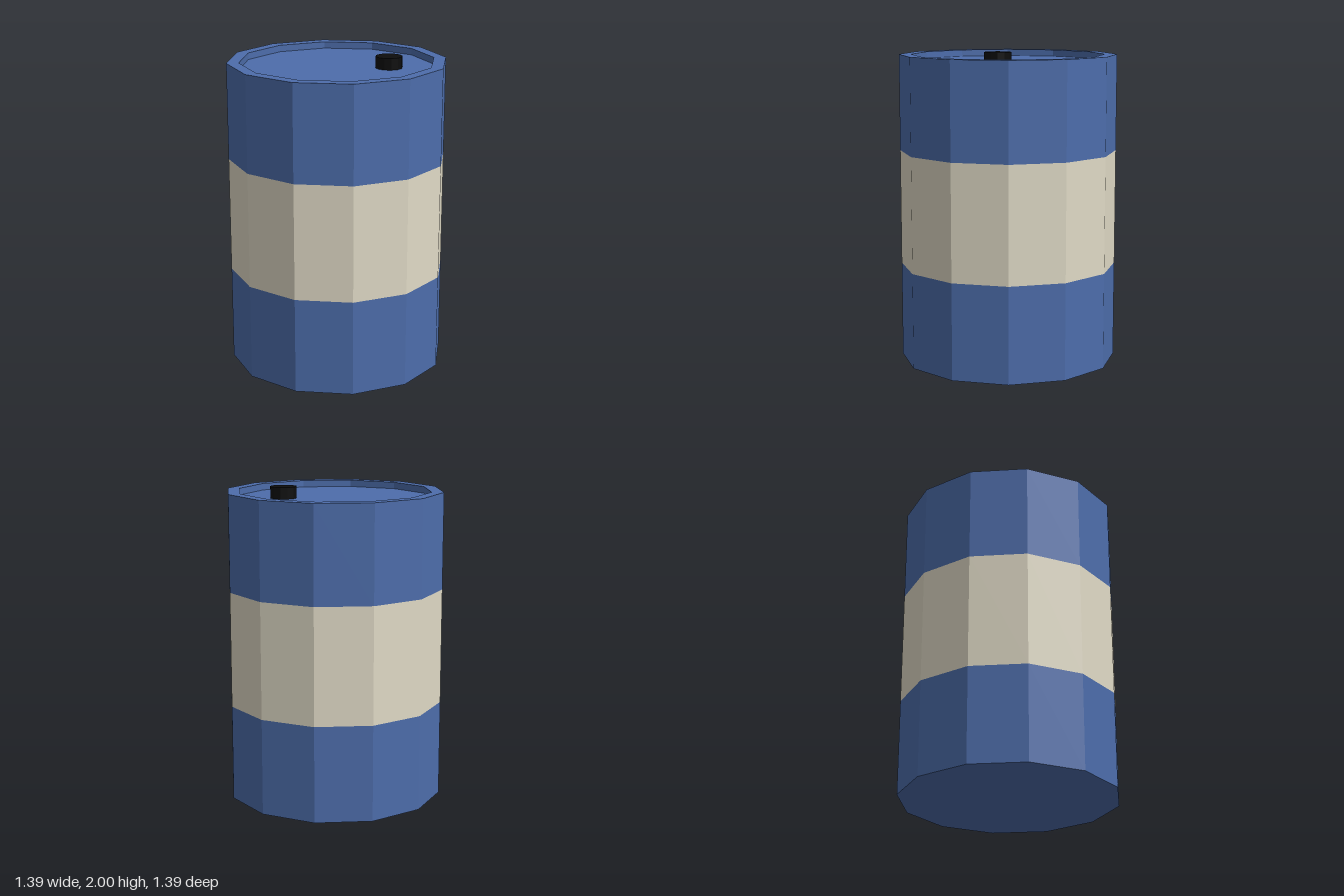
import * as THREE from 'three';

const SIDES = 12;
const RADIUS = 0.695;
const RIM_INNER = 0.617;
const HEIGHT = 1.97;
const LID_Y = 1.927;
const BAND_LOW = 0.615;
const BAND_HIGH = 1.355;

const material = (name, color) => {
  const m = new THREE.MeshStandardMaterial({ color, flatShading: true });
  m.name = name;
  return m;
};

export function createModel() {
  const model = new THREE.Group();
  model.name = 'barrel';

  const blue = material('blue paint', 0x4d6dab);
  const cream = material('cream paint', 0xe0dac6);
  const black = material('black cap', 0x0d0d0d);

  // Faceted ring section turned from a [radius, height] profile, listed outside-up
  const turn = (name, profile, mat) => {
    const points = profile.map(([r, y]) => new THREE.Vector2(r, y));
    const geometry = new THREE.LatheGeometry(points, SIDES).toNonIndexed();
    geometry.computeVertexNormals();
    const mesh = new THREE.Mesh(geometry, mat);
    mesh.name = name;
    model.add(mesh);
  };

  // Closed base and lower wall
  turn('lowerBody', [[0, 0], [RADIUS, 0], [RADIUS, BAND_LOW]], blue);

  // Painted middle band, flush with the wall
  turn('middleBand', [[RADIUS, BAND_LOW], [RADIUS, BAND_HIGH]], cream);

  // Upper wall, flat rim and recessed lid
  turn('upperBodyAndLid', [
    [RADIUS, BAND_HIGH], [RADIUS, HEIGHT], [RIM_INNER, HEIGHT],
    [RIM_INNER, LID_Y], [0, LID_Y],
  ], blue);

  // Filler cap standing on the lid
  const capHeight = 2 - LID_Y;
  const cap = new THREE.Mesh(new THREE.CylinderGeometry(0.085, 0.085, capHeight, SIDES), black);
  cap.name = 'fillerCap';
  cap.position.set(0.242, LID_Y + capHeight / 2, 0.215);
  model.add(cap);

  return model;
}
